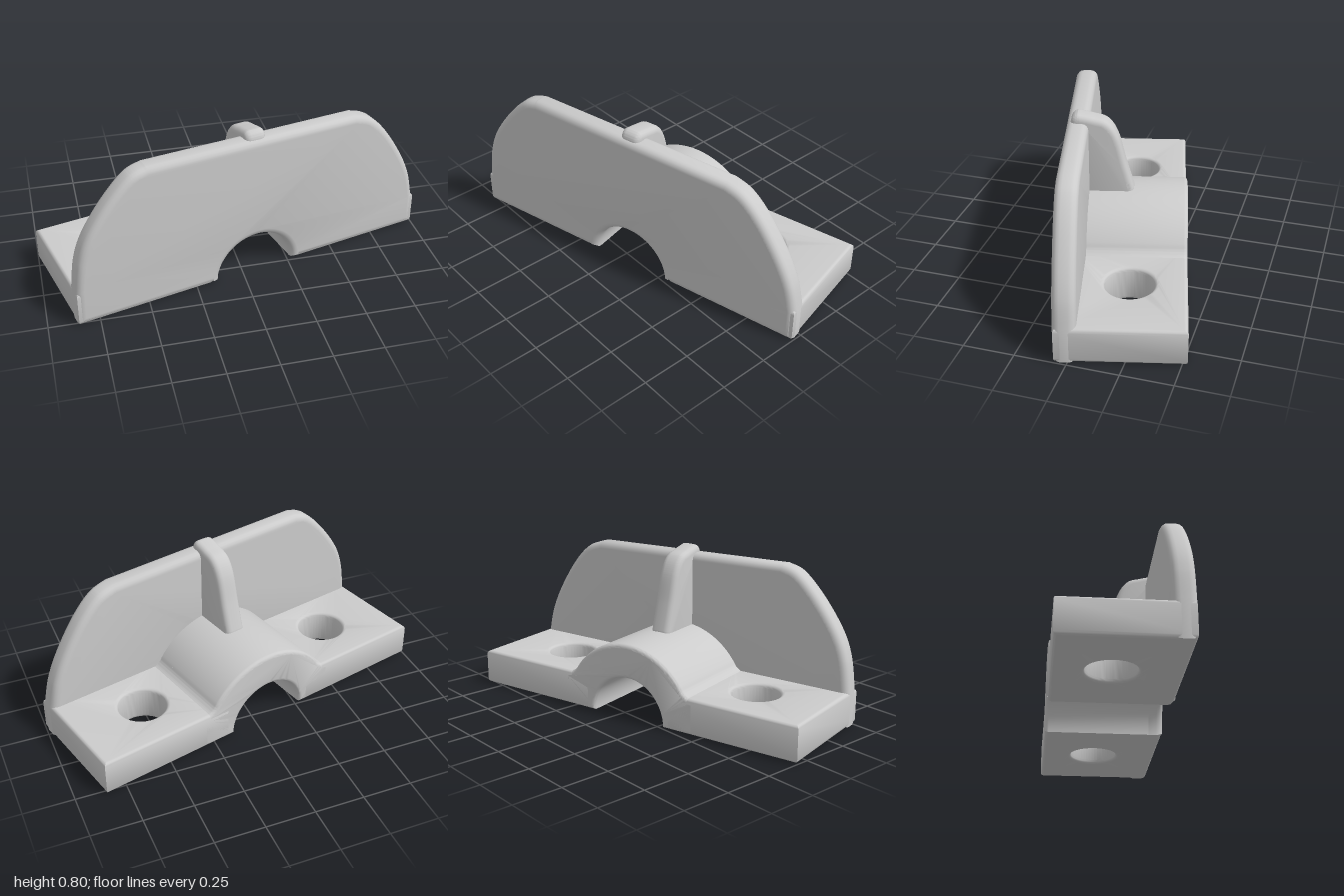
import * as THREE from 'three';
import { toCreasedNormals } from 'three/addons/utils/BufferGeometryUtils.js';

const material = new THREE.MeshStandardMaterial({ color: 0xcccccc });
const HALF_LENGTH = 0.953, HALF_DEPTH = 0.305, ARCH_RADIUS = 0.21;

// Extrude a shape from z0 to z1 with rounded edges that stay inside the outline.
function roundedExtrude(shape, z0, z1, bevel) {
  const geometry = new THREE.ExtrudeGeometry(shape, {
    depth: z1 - z0 - 2 * bevel, curveSegments: 24, bevelEnabled: true,
    bevelThickness: bevel, bevelSize: bevel, bevelOffset: -bevel, bevelSegments: 4,
  });
  geometry.translate(0, 0, z0 + bevel);
  return geometry;
}

function addPart(group, name, geometry) {
  const mesh = new THREE.Mesh(toCreasedNormals(geometry, 0.6), material);
  mesh.name = name;
  group.add(mesh);
}

const points = (list) => list.map(([x, y]) => new THREE.Vector2(x, y));

export function createModel() {
  const bracket = new THREE.Group();
  bracket.name = 'clampBracket';
  const body = new THREE.Group();
  body.name = 'body';
  body.rotation.y = 0.2435;
  bracket.add(body);

  // Upright front wall with sloping shoulders and an arched notch
  const wall = new THREE.Shape();
  wall.moveTo(-HALF_LENGTH, 0);
  wall.lineTo(-ARCH_RADIUS, 0);
  wall.absarc(0, 0, ARCH_RADIUS, Math.PI, 0, true);
  wall.lineTo(HALF_LENGTH, 0);
  wall.lineTo(HALF_LENGTH, 0.17);
  wall.splineThru(points([[0.92, 0.31], [0.855, 0.45], [0.75, 0.61], [0.65, 0.71], [0.555, 0.747]]));
  wall.lineTo(-0.57, 0.768);
  wall.splineThru(points([[-0.66, 0.735], [-0.775, 0.62], [-0.88, 0.47], [-0.93, 0.34], [-HALF_LENGTH, 0.18]]));
  addPart(body, 'frontWall', roundedExtrude(wall, 0.195, HALF_DEPTH, 0.035));

  // Arched saddle behind the wall, flaring into the feet
  const saddle = new THREE.Shape();
  saddle.moveTo(-ARCH_RADIUS, 0);
  saddle.absarc(0, 0, ARCH_RADIUS, Math.PI, 0, true);
  saddle.lineTo(0.4, 0);
  saddle.lineTo(0.4, 0.17);
  saddle.quadraticCurveTo(0.335, 0.18, 0.316, 0.22);
  const flare = Math.atan2(0.22, 0.316);
  saddle.absarc(0, 0, 0.385, flare, Math.PI - flare, false);
  saddle.quadraticCurveTo(-0.335, 0.18, -0.4, 0.17);
  saddle.lineTo(-0.4, 0);
  addPart(body, 'archSaddle', roundedExtrude(saddle, -HALF_DEPTH, 0.25, 0.02));

  // Mounting feet, each with a bolt hole
  for (const [side, name] of [[1, 'leftFoot'], [-1, 'rightFoot']]) {
    const inner = side * 0.25, outer = side * HALF_LENGTH;
    const foot = new THREE.Shape(points([
      [inner, -0.3], [outer, -0.3], [outer, HALF_DEPTH], [inner, HALF_DEPTH],
    ]));
    const hole = new THREE.Path();
    hole.absarc(side * 0.577, 0.03, 0.12, 0, Math.PI * 2, false);
    foot.holes.push(hole);
    const geometry = roundedExtrude(foot, 0, 0.182, 0.02);
    geometry.rotateX(-Math.PI / 2);
    addPart(body, name, geometry);
  }

  // Stiffening rib from the saddle up over the wall (outline drawn in z, y)
  const rib = new THREE.Shape();
  rib.moveTo(0.23, 0.3);
  rib.lineTo(-0.035, 0.3);
  rib.lineTo(-0.03, 0.39);
  rib.splineThru(points([[0.01, 0.53], [0.05, 0.68], [0.1, 0.755], [0.17, 0.78], [0.245, 0.797]]));
  rib.quadraticCurveTo(0.285, 0.79, 0.285, 0.74);
  rib.lineTo(0.23, 0.7);
  const ribGeometry = roundedExtrude(rib, -0.055, 0.055, 0.03);
  ribGeometry.rotateY(-Math.PI / 2);
  addPart(body, 'stiffeningRib', ribGeometry);

  return bracket;
}
